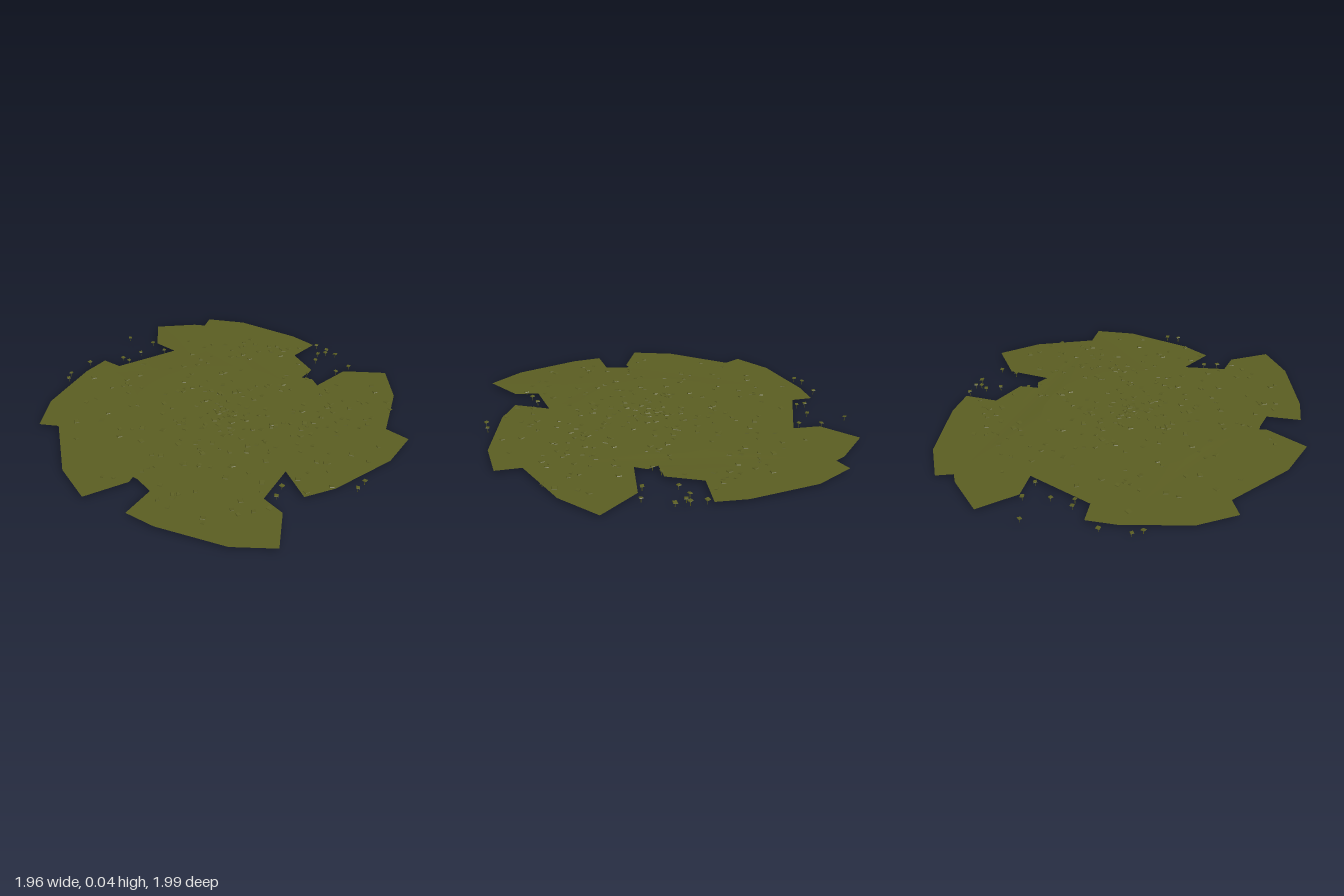
import * as THREE from 'three';
import { mergeGeometries } from 'three/addons/utils/BufferGeometryUtils.js';

const moss = new THREE.MeshStandardMaterial({ color: 0x5b5e22, side: THREE.DoubleSide });
moss.name = 'mossGreen';

// Ragged outline of the ground cover as [x, z]
const outline = [
  [-.145, -1], [.02, -.98], [0, -.79], [.18, -.7], [.18, -.59], [.24, -.61], [.3, -.57], [.34, -.81],
  [.55, -.95], [.71, -.75], [.83, -.42], [.97, -.41], [.98, -.18], [.87, .19], [.78, .34], [.6, .23],
  [.63, .47], [.76, .5], [.88, .71], [.69, .84], [.33, .94], [.16, .95], [.15, .76], [.04, .73],
  [.01, .73], [.02, .77], [-.09, .99], [-.32, .9], [-.62, .64], [-.72, .69], [-.84, .49], [-.91, .13],
  [-.91, -.03], [-.79, -.03], [-.64, -.38], [-.79, -.39], [-.94, -.57], [-.76, -.74], [-.7, -.77],
  [-.73, -.86], [-.52, -.96],
];

// Sprouts standing just off the edge of the sheet
const strays = [
  [-.97, -.33], [-.81, -.37], [-.69, -.34], [-.79, -.23], [-.83, -.11], [-.78, -.11], [-.96, .05],
  [-.96, .21], [-.93, .26], [.05, -.97], [.13, -.96], [.14, -.93], [.11, -.89], [.2, -.95], [.14, -.81],
  [.34, -.87], [.31, -.77], [.96, .06], [.96, .13], [.65, .34], [.67, .42], [.18, -.65],
];

function seeded(seed) {
  return () => {
    seed = (seed * 16807) % 2147483647;
    return seed / 2147483647;
  };
}

// Gentle dome: highest in the middle, thinning to the rim
const domeHeight = (x, z) => 0.026 - 0.012 * Math.min(1, x * x + z * z);

// Lay an XY geometry flat, facing up, and drape it over the dome
function drape(geometry, offset = 0) {
  geometry.rotateX(-Math.PI / 2);
  const p = geometry.attributes.position;
  for (let i = 0; i < p.count; i++) p.setY(i, domeHeight(p.getX(i), p.getZ(i)) + offset);
  geometry.computeVertexNormals();
  return geometry;
}

const inside = (x, z) => {
  let hit = false;
  outline.forEach(([ax, az], i) => {
    const [bx, bz] = outline[(i + 1) % outline.length];
    if ((az > z) !== (bz > z) && x < ax + ((z - az) * (bx - ax)) / (bz - az)) hit = !hit;
  });
  return hit;
};

export function createModel() {
  const group = new THREE.Group();
  group.name = 'groundCover';
  const rand = seeded(4217);
  const add = (name, geometry) => {
    const mesh = new THREE.Mesh(geometry, moss);
    mesh.name = name;
    group.add(mesh);
  };

  // Ragged outer sheet around a round, domed centre
  const ring = Array.from({ length: 24 }, (_, i) => {
    const a = (i / 24) * Math.PI * 2;
    return new THREE.Vector2(0.5 * Math.cos(a), 0.5 * Math.sin(a));
  });
  const shape = new THREE.Shape(outline.map(([x, z]) => new THREE.Vector2(x, -z)));
  shape.holes.push(new THREE.Path(ring));
  add('outerSheet', drape(new THREE.ShapeGeometry(shape)));
  add('centreSheet', drape(new THREE.RingGeometry(0, 0.5, 24, 3)));

  // Overlapping ragged layers on the underside
  const layers = [];
  for (let i = 0; i < 9; i++) {
    const a = (i / 9) * Math.PI * 2;
    const corners = Array.from({ length: 7 }, (_, k) => {
      const b = (k / 7) * Math.PI * 2;
      const r = 0.2 + 0.09 * rand();
      return new THREE.Vector2(0.35 * Math.cos(a) + r * Math.cos(b), 0.35 * Math.sin(a) + r * Math.sin(b));
    });
    layers.push(drape(new THREE.ShapeGeometry(new THREE.Shape(corners)), -0.003 - 0.001 * (i % 4)));
  }
  add('lowerLayers', mergeGeometries(layers));

  // Sprouts: a thin stem with a small square cap, thickest near the middle
  const spots = [...strays];
  while (spots.length < 300) {
    const a = rand() * Math.PI * 2;
    const r = 0.92 * rand();
    const x = 0.08 + r * Math.cos(a);
    const z = r * Math.sin(a);
    if (inside(x, z)) spots.push([x, z]);
  }
  const stems = [];
  const caps = [];
  spots.forEach(([x, z], i) => {
    const size = i < strays.length ? 0.011 + 0.006 * rand() : 0.011 + 0.009 * rand();
    const top = i < strays.length ? 0.026 + 0.004 * rand() : domeHeight(x, z) + 0.002 + 0.007 * rand();
    stems.push(new THREE.CylinderGeometry(0.0015, 0.002, top, 4).translate(x, top / 2, z));
    caps.push(new THREE.CylinderGeometry(size * 0.85, size, 0.004, 4)
      .rotateY(rand() * Math.PI)
      .rotateX((rand() - 0.5) * 0.3)
      .rotateZ((rand() - 0.5) * 0.3)
      .translate(x, top, z)
      .toNonIndexed());
  });
  caps.forEach((g) => g.computeVertexNormals());
  add('sproutStems', mergeGeometries(stems));
  add('sproutCaps', mergeGeometries(caps));

  return group;
}
